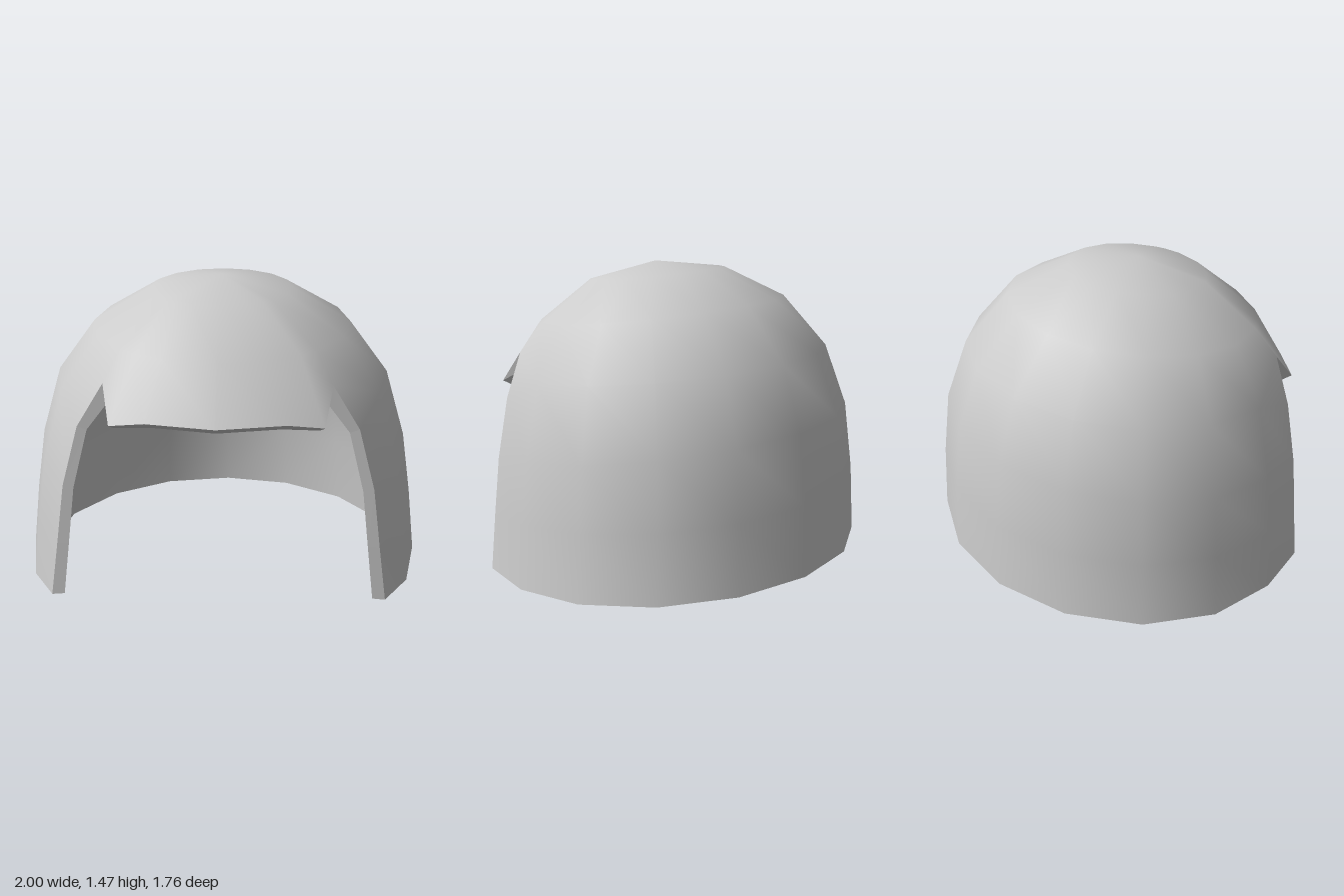
import * as THREE from 'three';
import { mergeVertices } from 'three/addons/utils/BufferGeometryUtils.js';

// Tilted elliptical rings from crown to rim: half width, back z, back y, front z, front y
const OUTER = {
  pole: [0, 1.475, 0.15],
  rings: [
    [0.34, -0.2, 1.45, 0.48, 1.38],
    [0.63, -0.5, 1.31, 0.73, 1.17],
    [0.82, -0.72, 1.06, 0.88, 0.91],
    [0.92, -0.83, 0.76, 0.95, 0.54],
    [0.965, -0.87, 0.42, 0.98, 0.26],
    [1.0, -0.885, 0.08, 0.98, -0.035],
  ],
  browEnd: [0.48, 0.89, 0.77],
  // Edge of the face opening, from the notch down to the rim
  cheek: [[0.52, 1.05, 0.635], [0.645, 0.845, 0.635], [0.72, 0.56, 0.645], [0.755, 0.28, 0.655], [0.79, 0.015, 0.66]],
};
const INNER = {
  pole: [0, 1.41, 0.14],
  rings: [
    [0.31, -0.18, 1.39, 0.45, 1.32],
    [0.58, -0.46, 1.26, 0.68, 1.13],
    [0.755, -0.66, 1.03, 0.8, 0.87],
    [0.85, -0.77, 0.74, 0.88, 0.53],
    [0.89, -0.81, 0.42, 0.91, 0.26],
    [0.92, -0.83, 0.077, 0.91, -0.03],
  ],
  browEnd: [0.46, 0.865, 0.72],
  cheek: [[0.5, 0.96, 0.635], [0.6, 0.83, 0.635], [0.67, 0.55, 0.645], [0.7, 0.28, 0.655], [0.73, 0.02, 0.66]],
};

// Column angles in degrees from the front, on the left half
const BROW_END = 36, CHEEK = 45;
const HALF = [0, 22.5, BROW_END, CHEEK, 67.5, 90, 112.5, 135, 157.5, 180];
const ANGLES = [...HALF, ...HALF.slice(1, -1).reverse().map((a) => -a)];

// One column of points from the crown down
function column(skin, angle) {
  const a = Math.abs(angle), t = THREE.MathUtils.degToRad(a);
  const p = skin.rings.map(([rx, bz, by, fz, fy]) => {
    const k = (1 + Math.cos(t)) / 2;
    return [rx * Math.sin(t), by + (fy - by) * k, bz + (fz - bz) * k];
  });
  let col;
  if (a < BROW_END) col = [skin.pole, ...p.slice(0, 3)];
  else if (a === BROW_END) col = [skin.pole, p[0], p[1], skin.browEnd];
  else if (a === CHEEK) col = [skin.pole, p[0], p[1], ...skin.cheek];
  else col = [skin.pole, p[0], p[1], p[2], p[2], p[3], p[4], p[5]]; // doubled row meets the notch
  return col.map(([x, y, z]) => new THREE.Vector3(angle < 0 ? -x : x, y, z));
}

// Triangles of a quad, leaving out collapsed ones
function quad(out, a, b, c, d) {
  for (const t of [[a, b, c], [a, c, d]]) {
    if (new THREE.Triangle(...t).getArea() > 1e-7) out.push(...t);
  }
}

function toMesh(name, points, smooth) {
  let geo = new THREE.BufferGeometry().setFromPoints(points);
  if (smooth) geo = mergeVertices(geo, 1e-4);
  geo.computeVertexNormals();
  const mesh = new THREE.Mesh(geo, new THREE.MeshStandardMaterial({ color: 0xcccccc }));
  mesh.name = name;
  return mesh;
}

// Curved skin between neighbouring columns
function skinMesh(name, cols, inward) {
  const pts = [];
  cols.forEach((a, i) => {
    const b = cols[(i + 1) % cols.length];
    for (let r = 0; r < Math.min(a.length, b.length) - 1; r++) {
      if (inward) quad(pts, a[r], b[r], b[r + 1], a[r + 1]);
      else quad(pts, a[r], a[r + 1], b[r + 1], b[r]);
    }
  });
  return toMesh(name, pts, true);
}

// Open edge: brow, cheeks and lower rim in one loop
function edgeLoop(cols) {
  return cols.flatMap((col, i) => {
    if (ANGLES[i] === CHEEK) return col.slice(3);
    if (ANGLES[i] === -CHEEK) return col.slice(3).reverse();
    return [col[col.length - 1]];
  });
}

export function createModel() {
  const group = new THREE.Group();
  group.name = 'helmet';
  const outer = ANGLES.map((a) => column(OUTER, a));
  const inner = ANGLES.map((a) => column(INNER, a));
  group.add(skinMesh('outerShell', outer, false));
  group.add(skinMesh('innerLining', inner, true));

  // Flat faces of the wall thickness
  const o = edgeLoop(outer), n = edgeLoop(inner), pts = [];
  o.forEach((p, i) => {
    const j = (i + 1) % o.length;
    quad(pts, p, n[i], n[j], o[j]);
  });
  group.add(toMesh('edgeTrim', pts, false));
  return group;
}
